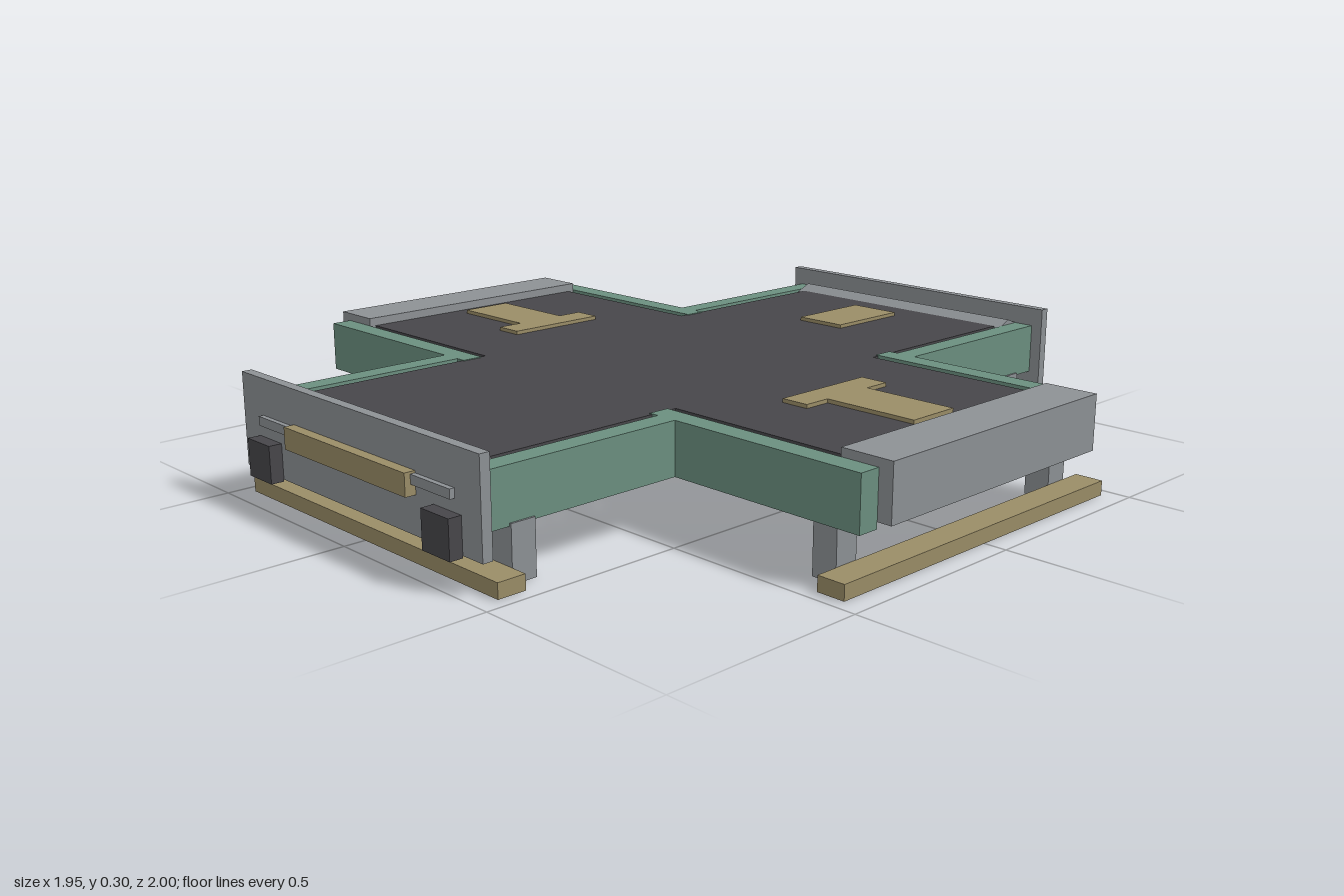
import * as THREE from 'three';

const mat = (name, color) => new THREE.MeshStandardMaterial({ name, color });

export function createModel() {
  const model = new THREE.Group();
  model.name = 'crossPlatform';
  const charcoal = mat('charcoal', 0x47464a);
  const grey = mat('grey', 0x8d9195);
  const green = mat('green', 0x6b8f7f);
  const tan = mat('tan', 0x9a8d67);

  // Box given by its extents on each axis
  const box = (parent, name, material, [x0, x1], [y0, y1], [z0, z1]) => {
    const mesh = new THREE.Mesh(new THREE.BoxGeometry(x1 - x0, y1 - y0, z1 - z0), material);
    mesh.position.set((x0 + x1) / 2, (y0 + y1) / 2, (z0 + z1) / 2);
    mesh.name = name;
    parent.add(mesh);
    return mesh;
  };

  // Extrude a plan outline (x, z) upwards from y0
  const slab = (parent, name, material, points, y0, height) => {
    const shape = new THREE.Shape(points.map(([x, z]) => new THREE.Vector2(x, -z)));
    const geo = new THREE.ExtrudeGeometry(shape, { depth: height, bevelEnabled: false });
    geo.rotateX(-Math.PI / 2);
    const mesh = new THREE.Mesh(geo, material);
    mesh.position.y = y0;
    mesh.name = name;
    parent.add(mesh);
    return mesh;
  };

  // Cross-shaped deck
  const a = 0.347, lx = 0.85, lz = 0.87;
  slab(model, 'deck', charcoal, [
    [a, lz], [a, a], [lx, a], [lx, -a], [a, -a], [a, -lz],
    [-a, -lz], [-a, -a], [-lx, -a], [-lx, a], [-a, a], [-a, lz],
  ], 0.23, 0.02);

  // Angled side walls in the four inner corners
  for (const sx of [-1, 1]) for (const sz of [-1, 1]) {
    const outline = [
      [0.34, 0.366], [0.94, 0.366], [0.94, 0.42], [0.42, 0.42],
      [0.42, 0.942], [0.366, 0.942], [0.366, 0.42], [0.34, 0.42],
    ];
    slab(model, 'cornerWall', green, outline.map(([x, z]) => [x * sx, z * sz]), 0.123, 0.129);
  }

  // Two ends with panel, bumper, lamps and skid
  for (const side of [0, 1]) {
    const end = new THREE.Group();
    end.name = side ? 'backEnd' : 'frontEnd';
    end.rotation.y = side * Math.PI;
    model.add(end);

    box(end, 'endPanel', grey, [-0.45, 0.45], [0.075, 0.3], [0.943, 0.968]);
    box(end, 'handRail', grey, [-0.365, 0.365], [0.19, 0.212], [0.968, 0.98]);
    box(end, 'bumper', tan, [-0.232, 0.232], [0.165, 0.217], [0.968, 0.994]);

    // Ridged sill behind the panel
    const profile = [[0.865, 0.145], [0.943, 0.145], [0.943, 0.252], [0.908, 0.265], [0.865, 0.247]];
    const shape = new THREE.Shape(profile.map(([z, y]) => new THREE.Vector2(-z, y)));
    const geo = new THREE.ExtrudeGeometry(shape, { depth: 0.732, bevelEnabled: false });
    geo.rotateY(Math.PI / 2);
    const sill = new THREE.Mesh(geo, grey);
    sill.position.x = -0.366;
    sill.name = 'ridgedSill';
    end.add(sill);

    box(end, 'skid', tan, [-0.467, 0.467], [0, 0.036], [0.877, 0.947]);
    for (const s of [-1, 1]) {
      const legX = [0.362, 0.425].map(v => v * s).sort((p, q) => p - q);
      const lampX = [0.292, 0.385].map(v => v * s).sort((p, q) => p - q);
      box(end, 'leg', grey, legX, [0, 0.13], [0.815, 0.877]);
      box(end, 'lamp', charcoal, lampX, [0.07, 0.16], [0.968, 1]);
    }
  }

  // Two sides with bolster, skid and marking
  for (const side of [0, 1]) {
    const wing = new THREE.Group();
    wing.name = side ? 'rightWing' : 'leftWing';
    wing.rotation.y = side * Math.PI;
    model.add(wing);

    box(wing, 'bolster', grey, [0.842, 0.975], [0.138, 0.272], [-0.365, 0.365]);
    box(wing, 'skid', tan, [0.875, 0.945], [0, 0.036], [-0.467, 0.467]);
    for (const z of [-0.379, 0.379]) {
      box(wing, 'leg', grey, [0.812, 0.875], [0, 0.13], [z - 0.031, z + 0.031]);
    }
    slab(wing, 'deckMarking', tan, [
      [0.48, 0.14], [0.553, 0.14], [0.553, 0.07], [0.797, 0.07],
      [0.797, -0.07], [0.553, -0.07], [0.553, -0.14], [0.48, -0.14],
    ], 0.2505, 0.0095);
  }

  // Single plain marking near the back
  box(model, 'backMarking', tan, [-0.072, 0.072], [0.2505, 0.26], [-0.78, -0.543]);

  return model;
}
